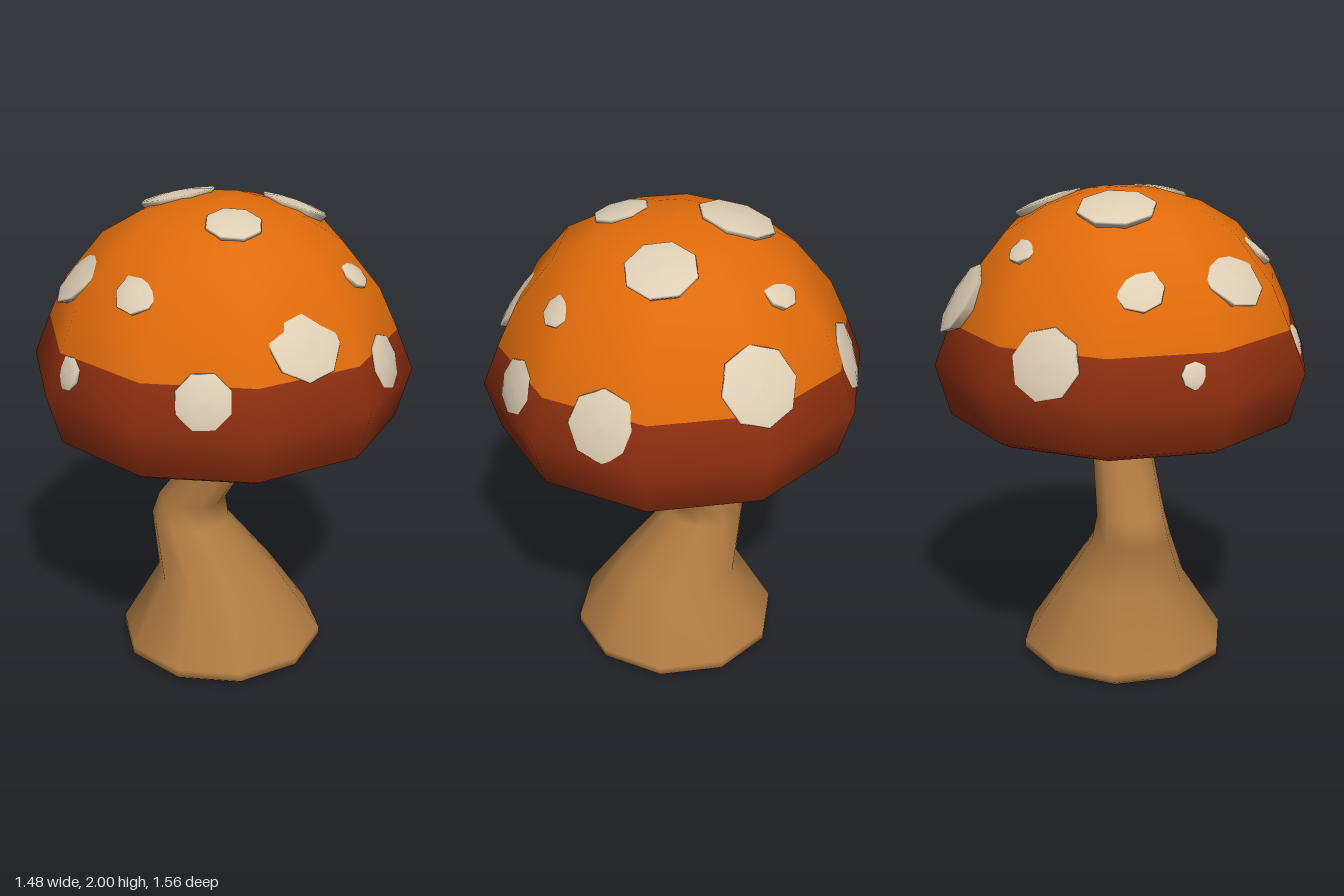
import * as THREE from 'three';
import { mergeVertices } from 'three/addons/utils/BufferGeometryUtils.js';

const SIDES = 10;

function paint(name, color) {
  const m = new THREE.MeshStandardMaterial({ color });
  m.name = name;
  return m;
}

function lathe(profile, sides = SIDES) {
  return new THREE.LatheGeometry(profile.map(([r, y]) => new THREE.Vector2(r, y)), sides);
}

function part(group, name, geometry, material) {
  const mesh = new THREE.Mesh(geometry, material);
  mesh.name = name;
  group.add(mesh);
  return mesh;
}

// Crooked stem: a turned profile whose rings are shifted sideways [radius, y, xOffset]
function stemGeometry() {
  const rings = [
    [0.41, 0, 0], [0.435, 0.02, 0], [0.435, 0.055, 0], [0.26, 0.33, -0.018],
    [0.168, 0.56, -0.15], [0.145, 0.66, -0.138], [0.129, 0.88, 0.007],
    [0.122, 1.07, 0.003], [0.13, 1.15, 0], [0.2, 1.22, 0],
  ];
  let geo = lathe(rings);
  const pos = geo.attributes.position;
  for (let i = 0; i < pos.count; i++) pos.setX(i, pos.getX(i) + rings[i % rings.length][2]);
  geo.deleteAttribute('uv');
  geo.deleteAttribute('normal');
  geo = mergeVertices(geo);
  geo.computeVertexNormals();
  return geo;
}

// Cap dome: the lower two bands and the upper bands use different materials
function capGeometry() {
  const profile = [
    [0.665, 1.07], [0.72, 1.1], [0.78, 1.31], [0.712, 1.48], [0.635, 1.65],
    [0.48, 1.84], [0.32, 1.935], [0.16, 1.985], [0, 2.0],
  ];
  const geo = lathe(profile);
  const bands = profile.length - 1;
  const rimBands = 3;
  geo.clearGroups();
  for (let s = 0; s < SIDES; s++) {
    const start = s * bands * 6;
    geo.addGroup(start, rimBands * 6, 0);
    geo.addGroup(start + rimBands * 6, (bands - rimBands) * 6, 1);
  }
  return geo;
}

// Slightly domed octagonal spot with its face towards +y
function spotGeometry(r) {
  return lathe([
    [r * 0.8, -0.05], [r, -0.008], [r * 0.97, 0], [r * 0.5, 0.07 * r], [0, 0.1 * r],
  ], 8);
}

export function createModel() {
  const model = new THREE.Group();
  model.name = 'mushroom';
  const tan = paint('stem tan', 0xb07b42);
  const red = paint('rim red', 0x8f2f10);
  const orange = paint('cap orange', 0xe06b0c);
  const cream = paint('spot cream', 0xdfceb5);

  // Stem and its flat base
  part(model, 'stem', stemGeometry(), tan);
  part(model, 'stemBase', lathe([[0, 0], [0.41, 0]]), tan);

  // Hollow underside and cap
  part(model, 'capUnderside', lathe([[0.1, 1.2], [0.2, 1.17], [0.36, 1.1], [0.665, 1.07]]), tan);
  const cap = part(model, 'cap', capGeometry(), [red, orange]);
  cap.updateMatrixWorld();

  // Spots: x, y, z, radius
  const spots = [
    [-0.23, 1.96, -0.08, 0.16], [0.2, 1.92, -0.27, 0.145], [0.14, 1.96, 0.19, 0.115],
    [-0.21, 1.8, -0.43, 0.075], [0, 1.57, -0.65, 0.16], [-0.555, 1.7, -0.07, 0.1],
    [0.525, 1.735, -0.07, 0.075], [0.7, 1.42, -0.01, 0.115], [0.54, 1.44, -0.45, 0.145],
    [-0.555, 1.44, -0.43, 0.145], [-0.455, 1.715, 0.315, 0.15], [-0.1, 1.75, 0.51, 0.1],
    [-0.365, 1.42, 0.62, 0.07], [0.235, 1.425, 0.66, 0.115], [0.51, 1.6, 0.365, 0.155],
    [-0.71, 1.405, 0.11, 0.055],
  ];
  const spotGroup = new THREE.Group();
  spotGroup.name = 'spots';
  model.add(spotGroup);
  const up = new THREE.Vector3(0, 1, 0);
  const ray = new THREE.Raycaster();
  for (const [x, y, z, r] of spots) {
    const normal = new THREE.Vector3(x / 0.58, (y - 1.22) / 0.49, z / 0.58).normalize();
    const spot = part(spotGroup, 'spot', spotGeometry(r), cream);
    // Seat the spot on the cap surface
    const centre = new THREE.Vector3(x, y, z);
    ray.set(centre.clone().addScaledVector(normal, 0.5), normal.clone().negate());
    const hit = ray.intersectObject(cap)[0];
    if (hit) centre.copy(hit.point);
    spot.position.copy(centre).addScaledVector(normal, 0.004);
    spot.quaternion.setFromUnitVectors(up, normal);
  }
  return model;
}
